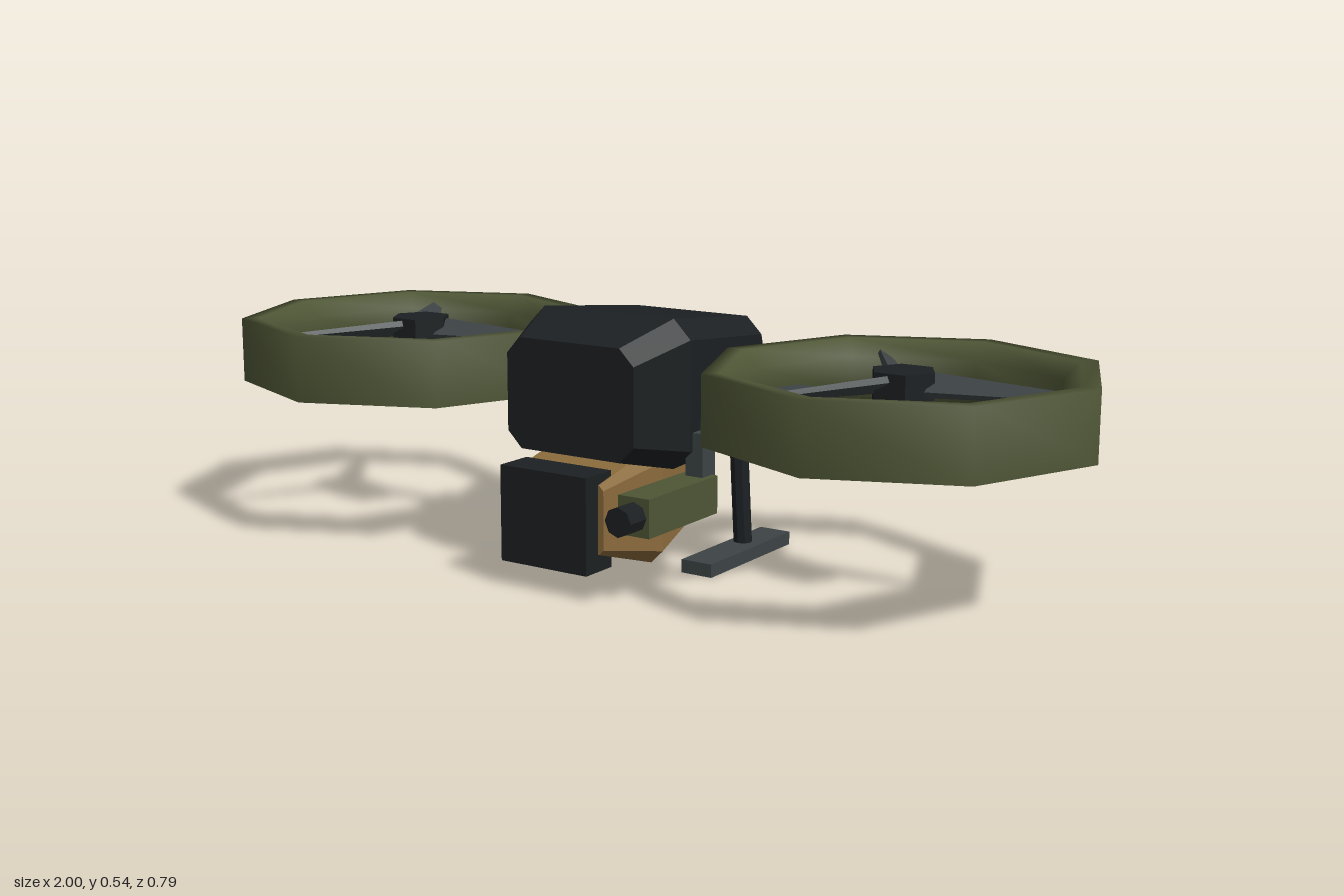
import * as THREE from 'three';

const paint = (color, flatShading = true) => new THREE.MeshStandardMaterial({ color, flatShading });
const dark = paint(0x1c2022), grey = paint(0x3d4446), tan = paint(0x8b6b3d);
const olive = paint(0x4f5636), oliveSmooth = paint(0x4f5636, false);

function add(parent, name, geometry, material, x = 0, y = 0, z = 0) {
  const mesh = new THREE.Mesh(geometry, material);
  mesh.name = name;
  mesh.position.set(x, y, z);
  parent.add(mesh);
  return mesh;
}

// Box given by its limits on each axis
function block(parent, name, material, [x0, x1], [y0, y1], [z0, z1]) {
  return add(parent, name, new THREE.BoxGeometry(x1 - x0, y1 - y0, z1 - z0), material,
    (x0 + x1) / 2, (y0 + y1) / 2, (z0 + z1) / 2);
}

// Hull lofted through chamfered rectangles, listed from back to front
function loft(sections) {
  const rings = sections.map(({ z, y0, y1, w, c }) => [
    [w, y0 + c], [w, y1 - c], [w - c, y1], [c - w, y1],
    [-w, y1 - c], [-w, y0 + c], [c - w, y0], [w - c, y0],
  ].map(([x, y]) => [x, y, z]));
  const pos = [];
  const tri = (a, b, c) => pos.push(...a, ...b, ...c);
  for (let s = 0; s < rings.length - 1; s++) {
    for (let i = 0; i < 8; i++) {
      const j = (i + 1) % 8, p = rings[s], q = rings[s + 1];
      tri(p[i], p[j], q[j]);
      tri(p[i], q[j], q[i]);
    }
  }
  const back = rings[0], front = rings[rings.length - 1];
  for (let i = 1; i < 7; i++) {
    tri(front[0], front[i], front[i + 1]);
    tri(back[0], back[i + 1], back[i]);
  }
  const geometry = new THREE.BufferGeometry();
  geometry.setAttribute('position', new THREE.Float32BufferAttribute(pos, 3));
  geometry.computeVertexNormals();
  return geometry;
}

// Ducted rotor: octagonal guard ring, hexagonal motor and three tapered blades
function createRotor() {
  const rotor = new THREE.Group();
  rotor.name = 'rotor';
  const profile = [
    [0.395, 0.325], [0.395, 0.465], [0.36, 0.465], [0.325, 0.43],
    [0.325, 0.36], [0.36, 0.325], [0.395, 0.325],
  ].map(([r, y]) => new THREE.Vector2(r, y));
  add(rotor, 'guardRing', new THREE.LatheGeometry(profile, 8), oliveSmooth);
  add(rotor, 'motor', new THREE.CylinderGeometry(0.066, 0.066, 0.16, 6), dark, 0, 0.38, 0).rotation.y = Math.PI / 6;

  const blade = new THREE.BoxGeometry(0.29, 0.014, 0.06);
  const p = blade.attributes.position;
  for (let i = 0; i < p.count; i++) {
    if (p.getX(i) > 0) p.setXYZ(i, p.getX(i), p.getY(i) * 0.6, p.getZ(i) * 0.35);
  }
  blade.rotateX(Math.PI / 6);
  blade.translate(0.2, 0, 0);
  for (let k = 0; k < 3; k++) {
    add(rotor, 'blade', blade, grey, 0, 0.435, 0).rotation.y = 0.07 + k * Math.PI * 2 / 3;
  }
  return rotor;
}

export function createModel() {
  const model = new THREE.Group();
  model.name = 'drone';

  // Upper hull and slung lower pod
  add(model, 'upperHull', loft([
    { z: -0.27, y0: 0.29, y1: 0.437, w: 0.135, c: 0.032 },
    { z: -0.19, y0: 0.237, y1: 0.5, w: 0.175, c: 0.036 },
    { z: 0.122, y0: 0.23, y1: 0.535, w: 0.2, c: 0.04 },
    { z: 0.255, y0: 0.262, y1: 0.49, w: 0.155, c: 0.034 },
  ]), dark);
  add(model, 'lowerPod', loft([
    { z: -0.035, y0: 0.08, y1: 0.26, w: 0.115, c: 0.022 },
    { z: 0.122, y0: 0.027, y1: 0.27, w: 0.135, c: 0.028 },
    { z: 0.305, y0: 0.085, y1: 0.225, w: 0.118, c: 0.01 },
  ]), tan);
  block(model, 'facePlate', dark, [-0.105, 0.105], [0.05, 0.247], [0.26, 0.345]);

  // Arms carrying the rotors
  block(model, 'crossArm', grey, [-0.385, 0.385], [0.304, 0.386], [-0.095, 0.03]);
  for (const side of [-1, 1]) {
    const rotor = createRotor();
    rotor.position.x = side * 0.605;
    model.add(rotor);

    // Landing gear
    const leg = add(model, 'leg', new THREE.CylinderGeometry(0.02, 0.02, 0.27, 8), dark, side * 0.171, 0.152, -0.119);
    leg.rotation.set(0.02, 0, side * 0.045);
    block(model, 'foot', grey, [side * 0.183 - 0.036, side * 0.183 + 0.036], [0, 0.028], [-0.245, 0.07]);
  }

  // Side mounted pod on the left
  block(model, 'podStrut', grey, [0.183, 0.223], [0.19, 0.307], [0.065, 0.112]);
  block(model, 'sidePod', olive, [0.164, 0.236], [0.14, 0.218], [0.076, 0.32]);
  add(model, 'podNozzle', new THREE.CylinderGeometry(0.03, 0.03, 0.07, 8), dark, 0.2, 0.179, 0.338).rotation.x = Math.PI / 2;

  return model;
}
